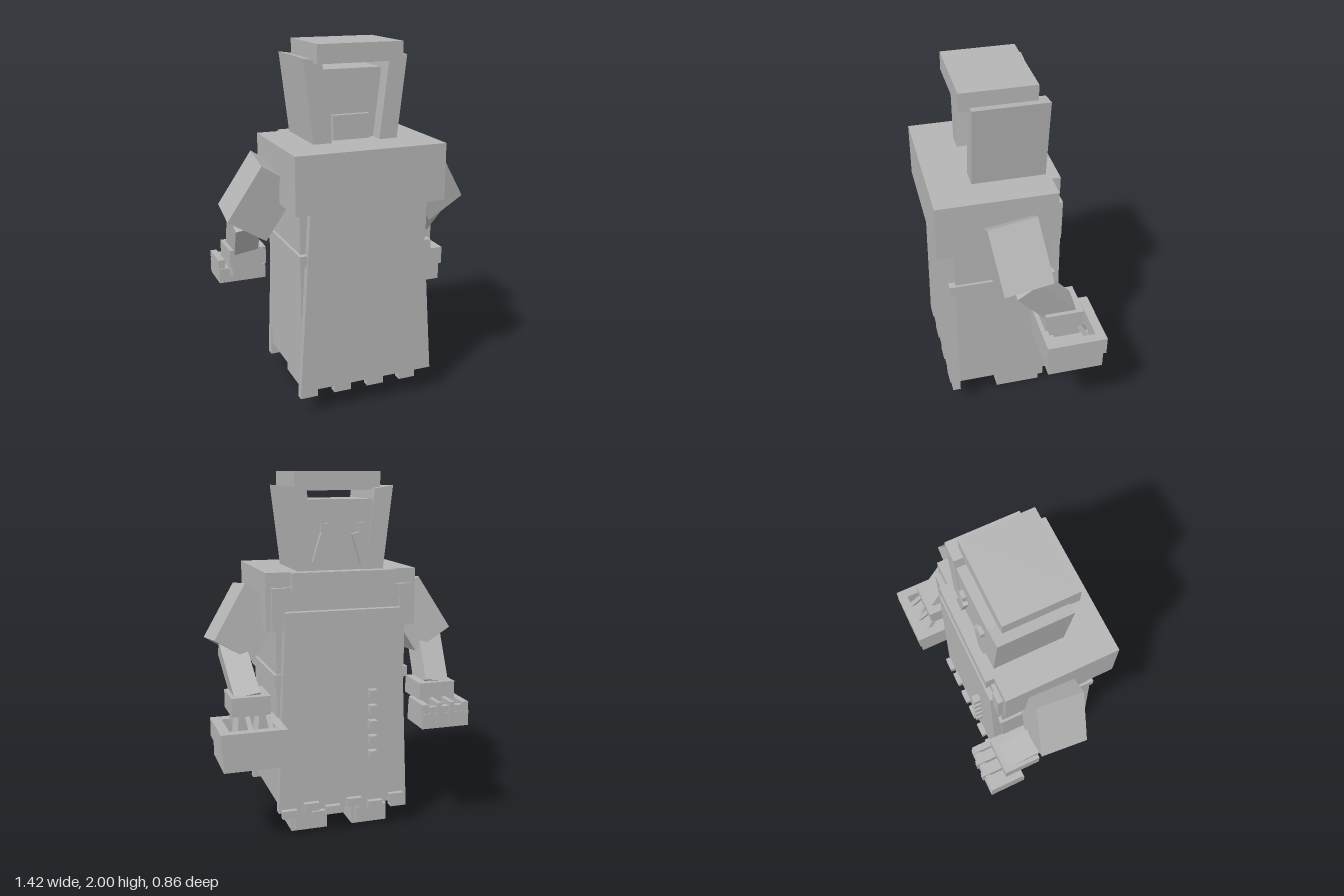
import * as THREE from 'three';

export function createModel() {
  const model = new THREE.Group();
  const stone = new THREE.MeshStandardMaterial({ color: 0xb4b4b4 });
  stone.name = 'plain grey';
  stone.flatShading = true;
  const CX = -0.012; // the figure's own centre line

  const add = (name, geometry) => {
    const mesh = new THREE.Mesh(geometry, stone);
    mesh.name = name;
    model.add(mesh);
    return mesh;
  };
  // Box given by its limits on each axis
  const box = (name, x0, x1, y0, y1, z0, z1) => {
    const mesh = add(name, new THREE.BoxGeometry(x1 - x0, y1 - y0, z1 - z0));
    mesh.position.set((x0 + x1) / 2, (y0 + y1) / 2, (z0 + z1) / 2);
    return mesh;
  };
  // Square bar running between two points
  const bar = (name, from, to, width, depth) => {
    const a = new THREE.Vector3(...from), b = new THREE.Vector3(...to);
    const mesh = add(name, new THREE.BoxGeometry(width, a.distanceTo(b), depth));
    const up = a.clone().sub(b).normalize();
    const side = new THREE.Vector3().crossVectors(up, new THREE.Vector3(0, 0, 1)).normalize();
    const face = new THREE.Vector3().crossVectors(side, up);
    mesh.quaternion.setFromRotationMatrix(new THREE.Matrix4().makeBasis(side, up, face));
    mesh.position.copy(a).add(b).multiplyScalar(0.5);
    return mesh;
  };
  // Flared cloth panel with a notched hem
  const panel = (name, top, bottom, yTop, z0, z1) => {
    const shape = new THREE.Shape();
    shape.moveTo(top[0], yTop);
    const steps = 8, w = (bottom[1] - bottom[0]) / steps;
    for (let i = 0; i < steps; i++) {
      const y = i % 2 ? 0.15 : 0.11;
      shape.lineTo(bottom[0] + i * w, y);
      shape.lineTo(bottom[0] + (i + 1) * w, y);
    }
    shape.lineTo(top[1], yTop);
    const mesh = add(name, new THREE.ExtrudeGeometry(shape, { depth: z1 - z0, bevelEnabled: false }));
    mesh.position.z = z0;
  };

  // Head, cap and slanted hood sides
  box('cap', -0.25, 0.23, 1.9, 2, -0.14, 0.26);
  box('head', -0.19, 0.166, 1.46, 1.855, -0.185, 0.12);
  box('hoodLoop', -0.12, 0.09, 1.48, 1.615, 0.12, 0.15);
  for (const s of [-1, 1]) {
    const shape = new THREE.Shape([[0.293, 1.925], [0.19, 1.91], [0.135, 1.46], [0.238, 1.46]]
      .map(([x, y]) => new THREE.Vector2(CX + s * x, y)));
    const hood = add('hoodSide', new THREE.ExtrudeGeometry(shape, { depth: 0.395, bevelEnabled: false }));
    hood.position.z = -0.19;
    const ex = CX + s * 0.105 - 0.01;
    box('eye', ex - 0.022, ex + 0.022, 1.685, 1.73, -0.208, -0.18);
    bar('moustache', [CX + s * 0.085, 1.68, -0.195], [CX + s * 0.135, 1.52, -0.195], 0.06, 0.03);
  }

  // Robe
  box('shoulderCape', -0.435, 0.41, 1.17, 1.48, -0.21, 0.43);
  box('robeBody', -0.38, 0.356, 0.185, 1.2, -0.205, 0.33);
  panel('frontPanel', [-0.335, 0.31], [-0.405, 0.385], 1.18, 0.33, 0.375);
  panel('apron', [-0.34, 0.316], [-0.39, 0.365], 1.27, -0.255, -0.205);
  box('belt', -0.395, 0.371, 0.87, 0.93, -0.22, 0.365);
  box('collar', -0.3, 0.276, 1.38, 1.48, -0.257, -0.205);
  box('chestBand', -0.36, 0.336, 1.32, 1.4, -0.23, -0.205);
  for (const s of [-1, 1]) {
    box('capeTrim', CX + s * 0.36 - 0.035, CX + s * 0.36 + 0.035, 1.17, 1.4, -0.24, -0.2);
  }
  for (let i = 0; i < 5; i++) {
    const y = 0.45 + i * 0.088;
    box('button', -0.193, -0.15, y - 0.022, y + 0.022, -0.297, -0.25);
  }
  for (let i = 0; i < 6; i++) {
    const x = -0.36 + i * 0.125, drop = i % 2 ? 0.03 : 0;
    box('hemTab', x, x + 0.085, 0.155 - drop, 0.2 - drop, -0.285, -0.25);
  }

  // Legs and shoes, arms and cuffs
  for (const s of [-1, 1]) {
    const fx = CX + s * 0.18;
    box('leg', fx - 0.085, fx + 0.085, 0.08, 0.2, -0.02, 0.14);
    box('shoe', fx - 0.105, fx + 0.105, 0, 0.12, -0.175, 0.085);
    box('toeCap', fx - 0.09, fx + 0.09, 0.018, 0.115, -0.21, -0.17);
    const at = (x, y, z) => [CX + s * x, y, z];
    bar('upperArm', at(0.407, 1.335, 0.055), at(0.588, 1.04, 0.01), 0.245, 0.265);
    bar('forearm', at(0.575, 1.06, 0.0), at(0.535, 0.8, -0.22), 0.14, 0.15);
    const cx = CX + s * 0.53;
    box('cuff', cx - 0.105, cx + 0.105, 0.745, 0.845, -0.31, -0.1);
    box('hand', cx - 0.085, cx + 0.085, 0.67, 0.75, -0.3, -0.13);
  }

  // Basket on the left hand: open rim, narrower base, loose sticks inside
  box('basketBase', 0.36, 0.69, 0.48, 0.6, -0.415, -0.105);
  box('basketRim', 0.35, 0.703, 0.585, 0.69, -0.427, -0.375);
  box('basketRim', 0.35, 0.703, 0.585, 0.69, -0.15, -0.093);
  box('basketRim', 0.35, 0.4, 0.585, 0.69, -0.375, -0.15);
  box('basketRim', 0.65, 0.703, 0.585, 0.69, -0.375, -0.15);
  for (let i = 0; i < 4; i++) {
    const x = 0.43 + i * 0.055;
    bar('basketStick', [x, 0.75, -0.28], [x + (i % 2 ? 0.03 : -0.02), 0.61, -0.36], 0.025, 0.025);
  }

  // Tray on the right hand: base, end rails and finger-like slats
  box('trayBase', -0.685, -0.41, 0.615, 0.7, -0.42, -0.21);
  for (const x of [-0.685, -0.447]) box('trayEnd', x, x + 0.037, 0.69, 0.75, -0.415, -0.22);
  box('trayRail', -0.65, -0.44, 0.7, 0.735, -0.415, -0.38);
  for (const x of [-0.58, -0.505]) box('traySlat', x - 0.013, x + 0.013, 0.65, 0.76, -0.432, -0.31);

  return model;
}
